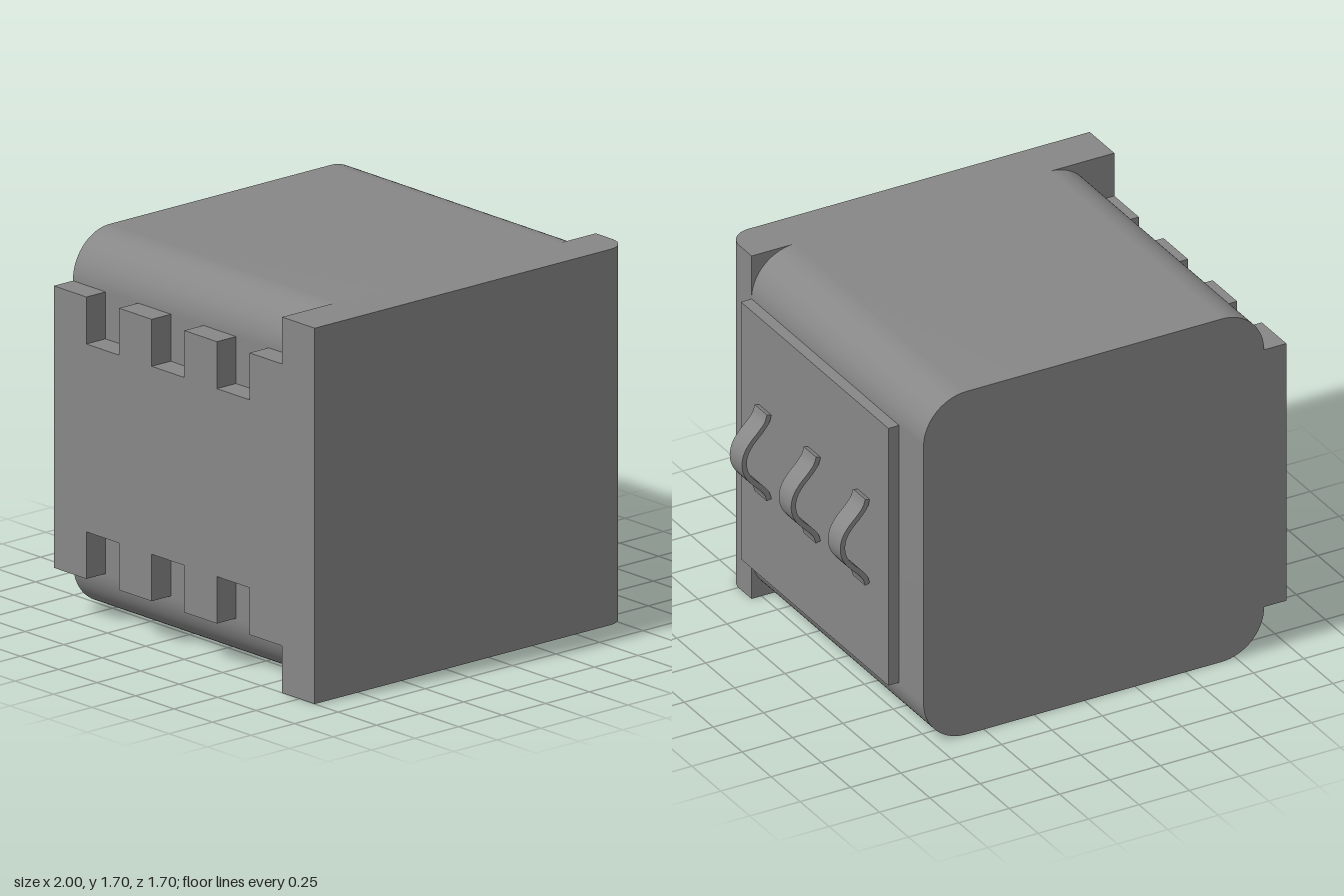
import * as THREE from 'three';
import { toCreasedNormals } from 'three/addons/utils/BufferGeometryUtils.js';

const material = new THREE.MeshStandardMaterial({ color: 0x878787 });
const U = 0.212; // grid unit: the housing is 8 units high and deep
const H = 8 * U, LEFT = -0.89, RIGHT = 0.8, BACK = -4 * U, STEP = 3 * U;

function add(group, name, geometry) {
  const mesh = new THREE.Mesh(geometry, material);
  mesh.name = name;
  group.add(mesh);
  return mesh;
}

// Extrusion with smooth curves and sharp edges
function extrude(shape, depth) {
  const g = new THREE.ExtrudeGeometry(shape, { depth, bevelEnabled: false, curveSegments: 16 });
  return toCreasedNormals(g, 0.6);
}

function roundedRect(x0, y0, x1, y1, r) {
  const s = new THREE.Shape();
  s.absarc(x1 - r, y0 + r, r, -Math.PI / 2, 0);
  s.absarc(x1 - r, y1 - r, r, 0, Math.PI / 2);
  s.absarc(x0 + r, y1 - r, r, Math.PI / 2, Math.PI);
  s.absarc(x0 + r, y0 + r, r, Math.PI, Math.PI * 1.5);
  s.closePath();
  return s;
}

// Closed strip outline made by offsetting a smooth centre line
function springShape(thickness) {
  const half = [[0.988, 0], [0.978, 0.05], [0.948, 0.095], [0.908, 0.135], [0.876, 0.175], [0.865, 0.21]];
  const pts = [...half.slice(1).reverse().map(([x, y]) => [x, -y]), ...half]
    .map(([x, y]) => new THREE.Vector3(x, H / 2 + y, 0));
  const curve = new THREE.CatmullRomCurve3(pts);
  const outer = [], inner = [];
  for (let i = 0; i <= 32; i++) {
    const p = curve.getPointAt(i / 32), t = curve.getTangentAt(i / 32);
    const nx = t.y * thickness / 2, ny = -t.x * thickness / 2;
    outer.push(new THREE.Vector2(p.x + nx, p.y + ny));
    inner.push(new THREE.Vector2(p.x - nx, p.y - ny));
  }
  return new THREE.Shape([...outer, ...inner.reverse()]);
}

export function createModel() {
  const model = new THREE.Group();
  model.name = 'housing';

  // Main block with rounded long edges
  add(model, 'body', extrude(roundedRect(LEFT, 0, RIGHT, H, U), STEP - BACK))
    .position.z = BACK;

  // Front flange, drawn in plan and rounded at one vertical edge
  const r = U / 2, plan = new THREE.Shape();
  plan.moveTo(-1, -STEP);
  plan.lineTo(-1, BACK);
  plan.lineTo(RIGHT - r, BACK);
  plan.absarc(RIGHT - r, BACK + r, r, -Math.PI / 2, 0);
  plan.lineTo(RIGHT, -STEP);
  plan.closePath();
  add(model, 'frontFlange', extrude(plan, H)).rotation.x = -Math.PI / 2;

  // Side plate with notched top and bottom edges
  const edge = [];
  for (let i = 0; i < 7; i++) {
    const y = i % 2 ? 2 * U : U;
    edge.push([BACK + i * U, y], [BACK + (i + 1) * U, y]);
  }
  const outline = [...edge, ...edge.map(([z, y]) => [z, H - y]).reverse()]
    .map(([z, y]) => new THREE.Vector2(z, y));
  const plate = add(model, 'notchedPlate', extrude(new THREE.Shape(outline), LEFT + 1));
  plate.rotation.y = -Math.PI / 2;
  plate.position.x = LEFT;

  // Raised contact panel
  const panelDepth = U / 4;
  add(model, 'contactPanel', new THREE.BoxGeometry(panelDepth, 6 * U, 6 * U))
    .position.set(RIGHT + panelDepth / 2, H / 2, 0);

  // Three bowed spring contacts
  const spring = extrude(springShape(0.024), U / 2);
  for (const z of [-2 * U, 0, 2 * U]) {
    add(model, 'springContact', spring).position.z = z - U / 4;
  }
  return model;
}
